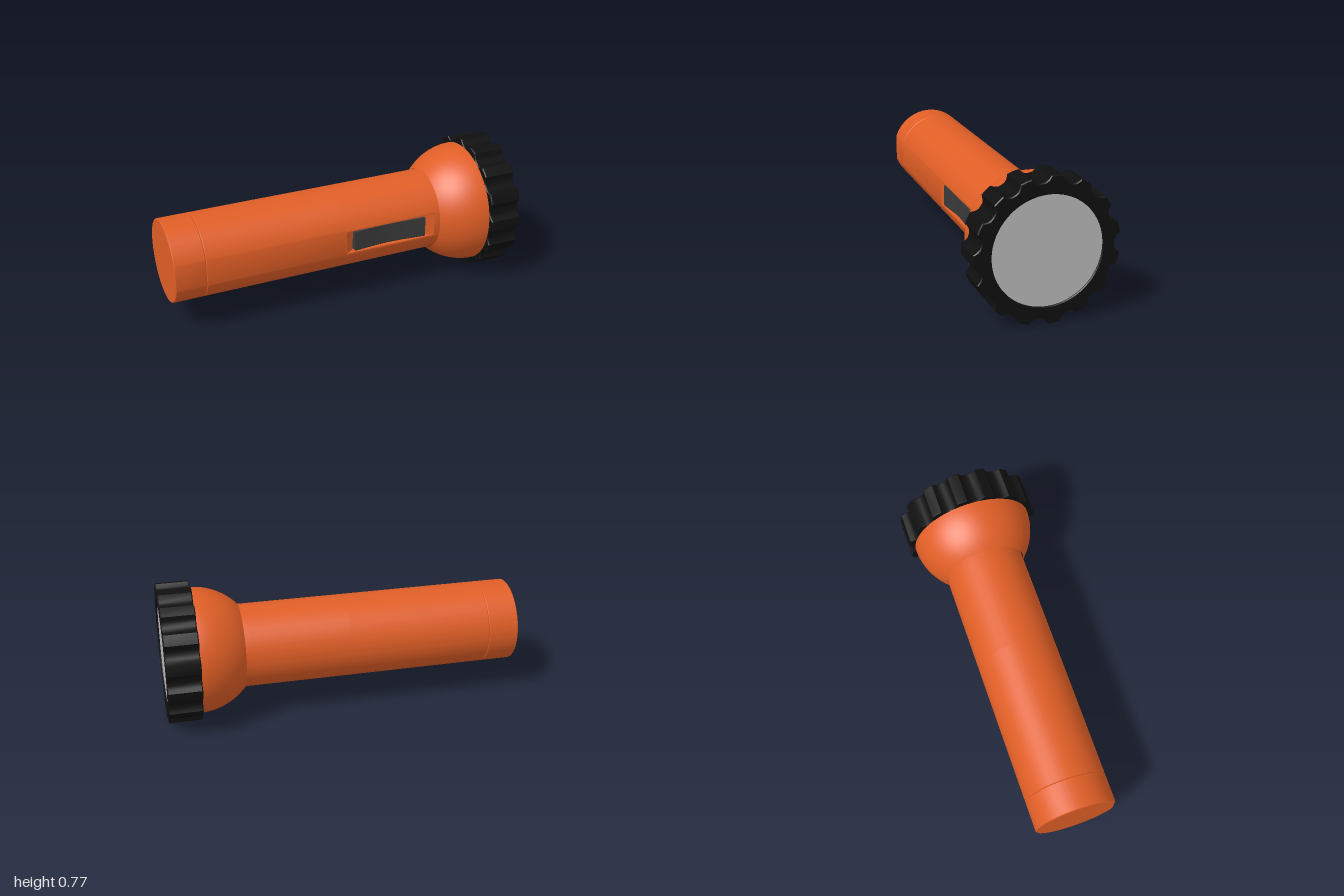
import * as THREE from 'three';
import { toCreasedNormals } from 'three/addons/utils/BufferGeometryUtils.js';

const R = 0.232;      // barrel radius
const FLAT = 0.22;    // distance of the flat strip from the axis
const FLOOR = 0.19;   // depth of the switch pocket
const SLOT = 0.066;   // half height of the pocket

function createModel() {
  const orange = new THREE.MeshStandardMaterial({ color: 0xe05e26 });
  orange.name = 'orange plastic';
  const black = new THREE.MeshStandardMaterial({ color: 0x0f0f0f });
  black.name = 'black rubber';
  const charcoal = new THREE.MeshStandardMaterial({ color: 0x3a3a3a });
  charcoal.name = 'charcoal switch';
  const grey = new THREE.MeshStandardMaterial({ color: 0xb9b9b9 });
  grey.name = 'grey lens';

  const model = new THREE.Group();
  model.name = 'flashlight';
  const torch = new THREE.Group();
  torch.name = 'torchBody';
  torch.position.set(0, 0.388, -0.003);
  model.add(torch);

  const add = (name, geometry, material) => {
    const mesh = new THREE.Mesh(geometry, material);
    mesh.name = name;
    torch.add(mesh);
    return mesh;
  };

  // Extrude a cross-section along x from x0 to x1 (shape x becomes -z)
  const alongX = (shape, x0, x1, bevel = 0) => {
    const g = new THREE.ExtrudeGeometry(shape, {
      depth: x1 - x0 - 2 * bevel, curveSegments: 80,
      bevelEnabled: bevel > 0, bevelSize: bevel, bevelThickness: bevel,
      bevelOffset: -bevel, bevelSegments: 1,
    });
    g.translate(0, 0, x0 + bevel);
    g.rotateY(Math.PI / 2);
    return toCreasedNormals(g, 0.5);
  };

  // Extrude an (x, z) outline through a height centred on the axis
  const alongY = (points, height, bevel = 0) => {
    const shape = new THREE.Shape(points.map(([x, z]) => new THREE.Vector2(x, z)));
    const g = new THREE.ExtrudeGeometry(shape, {
      depth: height - 2 * bevel, bevelEnabled: bevel > 0, bevelSize: bevel,
      bevelThickness: bevel, bevelOffset: -bevel, bevelSegments: 1,
    });
    g.translate(0, 0, -height / 2 + bevel);
    g.rotateX(Math.PI / 2);
    return g;
  };

  // Round section with a flat strip on the front, optionally notched
  const section = (notched) => {
    const a = Math.acos(FLAT / R);
    const s = new THREE.Shape();
    s.absarc(0, 0, R, -Math.PI + a, Math.PI - a, false);
    if (notched) {
      s.lineTo(-FLAT, SLOT);
      s.lineTo(-FLOOR, SLOT);
      s.lineTo(-FLOOR, -SLOT);
      s.lineTo(-FLAT, -SLOT);
    }
    s.closePath();
    return s;
  };

  // Tail cap and barrel, with a fine seam between them
  add('tailCap', alongX(section(false), -1, -0.828, 0.004), orange);
  add('barrelRear', alongX(section(false), -0.828, -0.02, 0.004), orange);
  add('barrelMiddle', alongX(section(true), -0.024, 0.534), orange);
  add('barrelFront', alongX(section(false), 0.53, 0.6), orange);

  // Sloping ends of the switch pocket
  add('pocketRampRear', alongY([[-0.02, FLOOR], [0.03, FLOOR], [-0.02, FLAT]], 2 * SLOT), orange);
  add('pocketRampFront', alongY([[0.475, FLOOR], [0.53, FLOOR], [0.53, FLAT]], 2 * SLOT), orange);

  // Rocker switch, dished in the middle
  add('rockerSwitch', alongY([
    [0.03, 0.18], [0.47, 0.18], [0.47, 0.222], [0.33, 0.209],
    [0.25, 0.205], [0.17, 0.209], [0.03, 0.222],
  ], 0.124, 0.005), charcoal);

  // Domed reflector housing
  const dome = [];
  const start = Math.acos(0.26 / 0.35);
  for (let i = 0; i <= 20; i++) {
    const t = start + (Math.PI / 2 - start) * i / 20;
    dome.push(new THREE.Vector2(0.35 * Math.sin(t), 0.82 - 0.35 * Math.cos(t)));
  }
  const housing = new THREE.LatheGeometry(dome, 96);
  housing.rotateZ(-Math.PI / 2);
  add('reflectorHousing', housing, orange);

  // Scalloped grip ring: 15 lobes, one pointing to the front
  const lobe = [[-4.5, 0.387], [0, 0.388], [4.5, 0.387], [6.6, 0.367],
    [9, 0.356], [12, 0.354], [15, 0.356], [17.4, 0.367]];
  const outline = [];
  for (let i = 0; i < 15; i++) {
    for (const [deg, r] of lobe) {
      const t = THREE.MathUtils.degToRad(180 + i * 24 + deg);
      outline.push(new THREE.Vector2(r * Math.cos(t), r * Math.sin(t)));
    }
  }
  const ring = new THREE.Shape(outline);
  const hole = new THREE.Path();
  hole.absarc(0, 0, 0.292, 0, Math.PI * 2, true);
  ring.holes.push(hole);
  add('gripRing', alongX(ring, 0.815, 1, 0.005), black);

  // Lens set just inside the ring
  const lens = new THREE.CylinderGeometry(0.292, 0.292, 0.02, 96);
  lens.rotateZ(-Math.PI / 2);
  lens.translate(0.982, 0, 0);
  add('lens', lens, grey);

  return model;
}

export { createModel };
